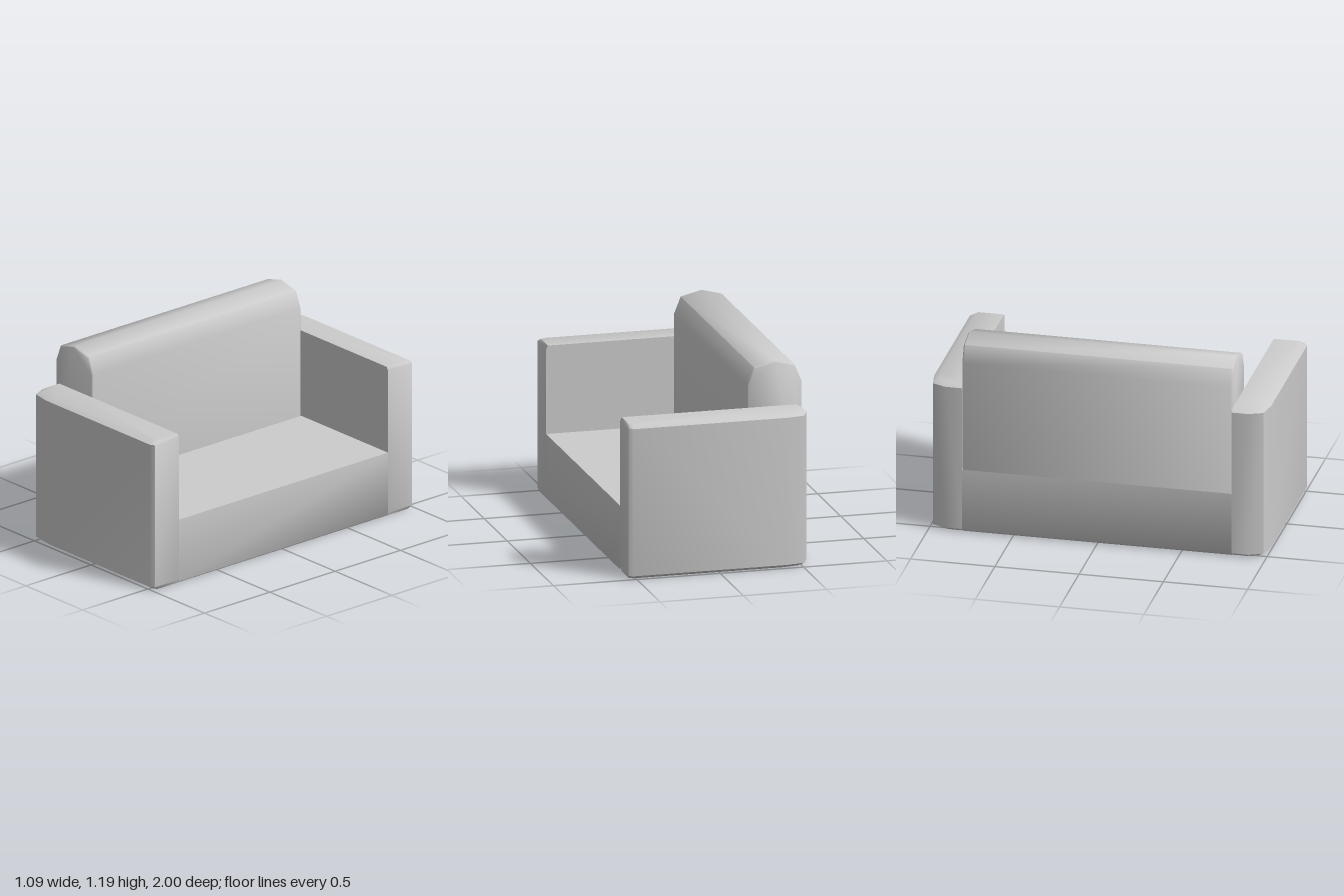
import * as THREE from 'three';
import { toCreasedNormals } from 'three/addons/utils/BufferGeometryUtils.js';

const CREASE = 0.96;
const BACK = -0.545, FRONT = 0.545, INNER = 0.8;

// Prism running across the sofa, from a side profile in x and y
function crossPiece(name, profile, material, bevel = 0) {
  const shape = new THREE.Shape(profile.map(([x, y]) => new THREE.Vector2(x, y)));
  const geometry = new THREE.ExtrudeGeometry(shape, {
    depth: 2 * (INNER - bevel),
    bevelEnabled: bevel > 0,
    bevelSize: bevel,
    bevelThickness: bevel,
    bevelOffset: -bevel,
    bevelSegments: 1,
  });
  geometry.translate(0, 0, -(INNER - bevel));
  const mesh = new THREE.Mesh(toCreasedNormals(geometry, CREASE), material);
  mesh.name = name;
  return mesh;
}

// Arm: a plan outline stacked in rings, inset on its outer sides at top and bottom
function arm(name, side, material) {
  const outline = [
    [BACK, INNER], [BACK, 0.9], [-0.51, 0.98], [-0.4, 1],
    [0.52, 1], [FRONT, 0.985], [FRONT, INNER],
  ];
  const rings = [[0, 0.03], [0.02, 0], [0.903, 0], [0.923, 0.035]];
  const n = outline.length;
  const positions = [], index = [];
  const tri = (a, b, c) => index.push(...(side > 0 ? [a, b, c] : [a, c, b]));

  for (const [y, inset] of rings) {
    for (const [x, z] of outline) {
      const insetX = x < 0 ? inset : inset * 0.3;
      positions.push(
        x * (1 - insetX / FRONT),
        y,
        side * (INNER + (z - INNER) * (1 - inset / 0.2)),
      );
    }
  }
  for (let r = 0; r < rings.length - 1; r++) {
    for (let i = 0; i < n; i++) {
      const a = r * n + i, b = r * n + (i + 1) % n;
      tri(a, b, b + n);
      tri(a, b + n, a + n);
    }
  }
  // Closing faces, top and bottom
  const top = (rings.length - 1) * n;
  for (let i = 1; i < n - 1; i++) {
    tri(top, top + i, top + i + 1);
    tri(0, i + 1, i);
  }
  const geometry = new THREE.BufferGeometry();
  geometry.setAttribute('position', new THREE.Float32BufferAttribute(positions, 3));
  geometry.setIndex(index);
  const mesh = new THREE.Mesh(toCreasedNormals(geometry, CREASE), material);
  mesh.name = name;
  return mesh;
}

export function createModel() {
  const material = new THREE.MeshStandardMaterial({ color: 0xcccccc });
  const sofa = new THREE.Group();
  sofa.name = 'sofa';

  // Seat block between the arms
  sofa.add(crossPiece('seatBase', [
    [-0.52, 0], [0.535, 0], [FRONT, 0.01], [FRONT, 0.393], [BACK, 0.393], [BACK, 0.02],
  ], material));

  // Backrest with a rounded top
  sofa.add(crossPiece('backrest', [
    [BACK, 0.393], [-0.22, 0.393], [-0.22, 1.06], [-0.26, 1.16],
    [-0.385, 1.192], [-0.505, 1.16], [BACK, 1.06],
  ], material, 0.008));

  // Arms at both ends
  sofa.add(arm('leftArm', 1, material), arm('rightArm', -1, material));
  return sofa;
}
